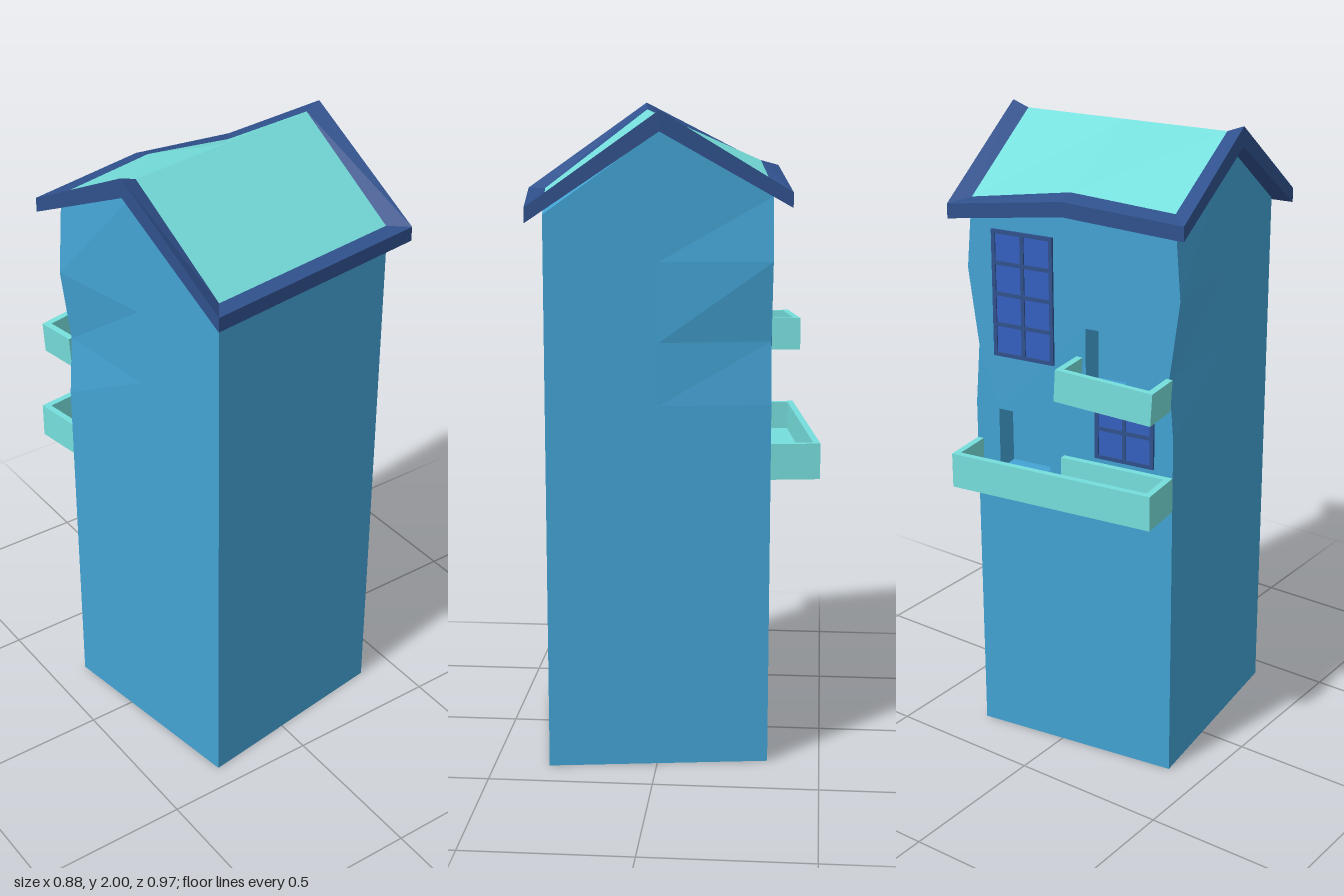
import * as THREE from 'three';

const mat = (name, color) => {
  const m = new THREE.MeshStandardMaterial({ color });
  m.name = name;
  return m;
};

export function createModel() {
  const wallBlue = mat('wall blue', 0x43a3d4);
  const navy = mat('trim navy', 0x30518d);
  const teal = mat('roof teal', 0x76dfdc);
  const glass = mat('window blue', 0x3560c0);

  const model = new THREE.Group();
  model.name = 'towerHouse';
  const add = (parent, name, geometry, material, x = 0, y = 0, z = 0) => {
    const mesh = new THREE.Mesh(geometry, material);
    mesh.name = name;
    mesh.position.set(x, y, z);
    parent.add(mesh);
    return mesh;
  };
  const box = (parent, name, w, h, d, material, x, y, z) =>
    add(parent, name, new THREE.BoxGeometry(w, h, d), material, x, y, z);

  const house = new THREE.Group();
  house.name = 'house';
  house.position.z = 0.0425;
  house.rotation.y = 0.141;
  model.add(house);
  const H = 0.338; // half width of the square body

  // Front half of the body, its top sloping from ridge to front eave
  const front = new THREE.BoxGeometry(2 * H, 1, H).translate(0, 0.5, H / 2).toNonIndexed();
  const fp = front.attributes.position;
  for (let i = 0; i < fp.count; i++) fp.setY(i, fp.getY(i) * (fp.getZ(i) > 0.1 ? 1.7 : 1.94));
  front.computeVertexNormals();
  add(house, 'bodyFront', front, wallBlue);

  // Back half: wavy sides and two door openings; waviness fades towards the middle
  const side = [[H, 0], [H, 1.13], [0.323, 1.32], [0.355, 1.56]];
  const outline = [...side, [H, 1.75], [0, 1.79], [-H, 1.775], ...side.map(([u, y]) => [-u, y]).reverse()];
  const wall = new THREE.Shape(outline.map(([u, y]) => new THREE.Vector2(u, y)));
  const doors = [
    ['lowerDoor', 0.08, 0.258, 0.92, 1.12],
    ['upperDoor', -0.18, -0.047, 1.25, 1.43],
  ];
  for (const [name, u0, u1, y0, y1] of doors) {
    wall.holes.push(new THREE.Path([[u0, y0], [u0, y1], [u1, y1], [u1, y0]].map(([u, y]) => new THREE.Vector2(u, y))));
    box(house, name, u1 - u0 + 0.02, y1 - y0 + 0.02, 0.01, wallBlue, (u0 + u1) / 2, (y0 + y1) / 2, -H + 0.085);
  }
  const back = new THREE.ExtrudeGeometry(wall, { depth: H, bevelEnabled: false }).translate(0, 0, -H);
  const bp = back.attributes.position;
  for (let i = 0; i < bp.count; i++) {
    if (bp.getZ(i) < -0.1) continue;
    const u = bp.getX(i);
    if (Math.abs(u) > 0.3) bp.setX(i, Math.sign(u) * H);
    if (bp.getY(i) > 1.7) bp.setY(i, 1.94);
  }
  back.computeVertexNormals();
  add(house, 'bodyBack', back, wallBlue);

  // Roof surfaces: heights at the front eave, the ridge and the uneven back eave
  const eaveBack = { '-1': 1.8, 0: 1.82, 1: 1.765 };
  const outer = (u, v) => [u * 0.388, v > 0 ? 1.725 : v === 0 ? 2.0 : eaveBack[u], v * 0.39];
  const inner = (u, v) => [u * 0.335, v > 0 ? 1.727 : v === 0 ? 1.98 : eaveBack[u] + 0.015, v * 0.335];
  const under = (u, v) => {
    const [x, y, z] = outer(u, v);
    return [x, y - (v === 0 ? 0.06 : 0.045), z];
  };
  const quads = (list) => {
    const g = new THREE.BufferGeometry();
    const pos = list.flatMap(([a, b, c, d]) => [a, b, c, a, c, d].flat());
    g.setAttribute('position', new THREE.Float32BufferAttribute(pos, 3));
    g.computeVertexNormals();
    return g;
  };
  const ring = [[-1, 1], [0, 1], [1, 1], [1, 0], [1, -1], [0, -1], [-1, -1], [-1, 0]];
  const trim = [];
  ring.forEach((a, i) => {
    const b = ring[(i + 1) % 8];
    trim.push([outer(...a), outer(...b), inner(...b), inner(...a)]);
    trim.push([under(...a), under(...b), outer(...b), outer(...a)]);
  });
  const panels = [];
  for (const u of [-1, 0]) {
    for (const v of [0, 1]) {
      const cell = [[u, v], [u + 1, v], [u + 1, v - 1], [u, v - 1]];
      panels.push(cell.map((p) => inner(...p)));
      trim.push(cell.map((p) => under(...p)).reverse());
    }
  }
  add(house, 'roofTrim', quads(trim), navy);
  add(house, 'roofPanels', quads(panels), teal);

  // Windows on the back wall: a pane with a grid of bars
  const windowAt = (name, u, y, w, h, cols, rows) => {
    const g = new THREE.Group();
    g.name = name;
    g.position.set(u, y, -H);
    house.add(g);
    box(g, 'pane', w, h, 0.006, glass, 0, 0, 0);
    for (let c = 0; c <= cols; c++) box(g, 'bar', 0.012, h + 0.012, 0.009, navy, (c / cols - 0.5) * w, 0, -0.003);
    for (let r = 0; r <= rows; r++) box(g, 'bar', w, 0.012, 0.009, navy, 0, (r / rows - 0.5) * h, -0.003);
  };
  windowAt('upperWindow', 0.163, 1.495, 0.195, 0.385, 2, 4);
  windowAt('lowerWindow', -0.178, 1.125, 0.185, 0.185, 2, 2);

  // Balconies: open trays hung on the back wall
  const balcony = (name, u, y, w, h, d, tilt) => {
    const g = new THREE.Group();
    g.name = name;
    g.position.set(u, y, -H);
    g.rotation.z = tilt;
    house.add(g);
    const t = 0.02;
    box(g, 'floor', w, t, d, teal, 0, t / 2, -d / 2);
    box(g, 'frontRail', w, h - t, t, teal, 0, (h + t) / 2, -d + t / 2);
    for (const s of [-1, 1]) box(g, 'sideRail', t, h - t, d - t, teal, s * (w - t) / 2, (h + t) / 2, -(d - t) / 2);
    return g;
  };
  const lower = balcony('lowerBalcony', 0, 0.9, 2 * H, 0.11, 0.15, 0);
  box(lower, 'wallRail', 0.35, 0.09, 0.02, teal, -0.145, 0.065, -0.01);
  balcony('upperBalcony', -0.169, 1.23, 0.318, 0.1, 0.13, 0.06);

  return model;
}
